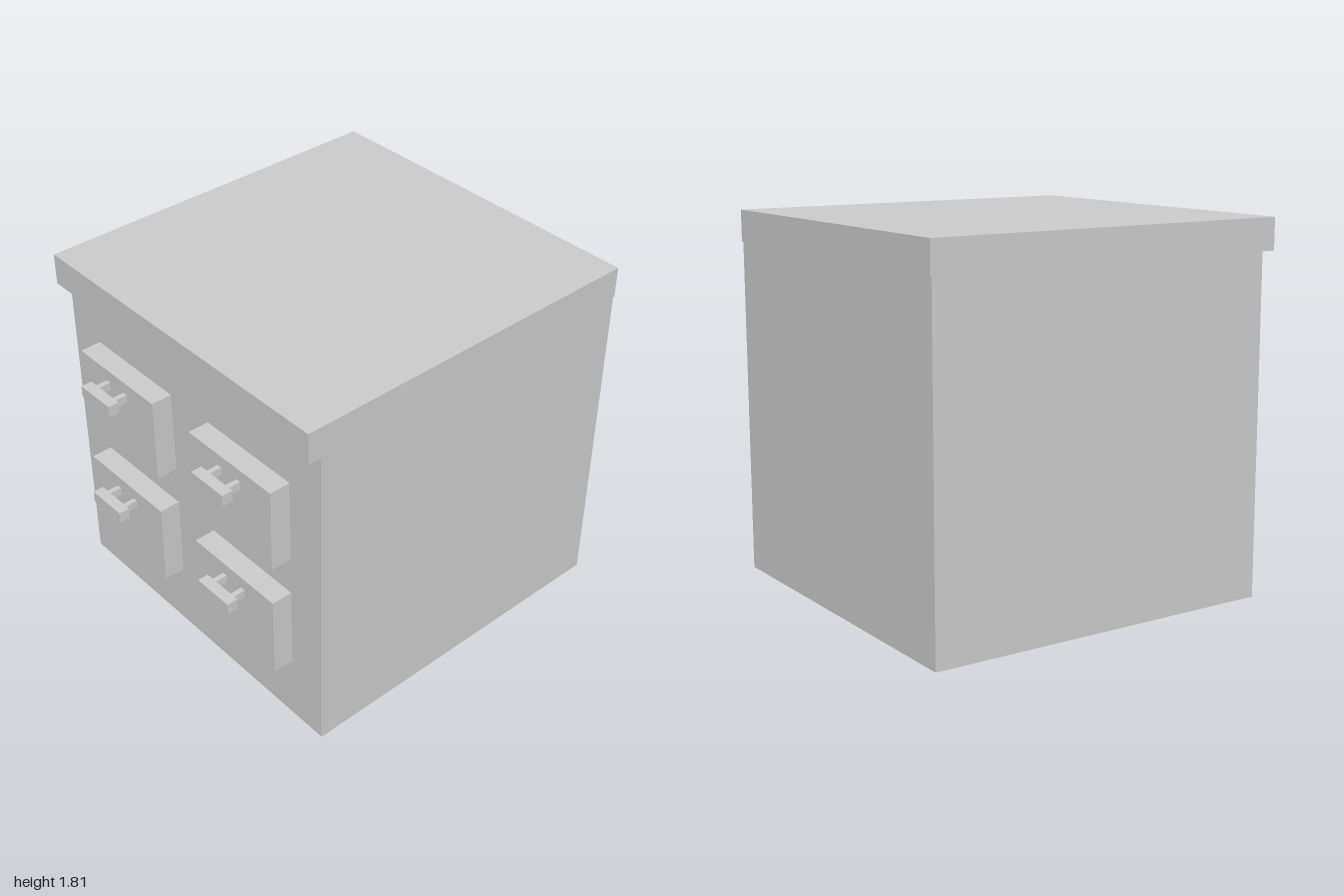
import * as THREE from 'three';

const material = new THREE.MeshStandardMaterial({ color: 0xcccccc, flatShading: true });

// Box given by its [min, max] extent on each axis
function box(name, [x0, x1], [y0, y1], [z0, z1]) {
  const mesh = new THREE.Mesh(new THREE.BoxGeometry(x1 - x0, y1 - y0, z1 - z0), material);
  mesh.name = name;
  mesh.position.set((x0 + x1) / 2, (y0 + y1) / 2, (z0 + z1) / 2);
  return mesh;
}

// Drawer front with a bar handle on two posts; origin at its bottom centre
function createDrawer() {
  const drawer = new THREE.Group();
  drawer.add(box('drawerFront', [-0.275, 0.275], [0, 0.426], [0.77, 0.88]));
  drawer.add(box('handleBar', [-0.106, 0.106], [0.315, 0.373], [0.945, 1]));
  for (const x of [-0.064, 0.064]) {
    drawer.add(box('handlePost', [x - 0.0125, x + 0.0125], [0.323, 0.365], [0.875, 0.95]));
  }
  return drawer;
}

export function createModel() {
  const cabinet = new THREE.Group();
  cabinet.name = 'drawerCabinet';

  // Carcass and the worktop overhanging the front
  cabinet.add(box('body', [-0.885, 0.885], [0, 1.652], [-0.993, 0.775]));
  cabinet.add(box('worktop', [-0.886, 0.886], [1.652, 1.807], [-1, 0.845]));

  // Two by two drawers
  for (const [row, y] of [['lower', 0.343], ['upper', 0.97]]) {
    for (const [side, x] of [['Right', -0.408], ['Left', 0.408]]) {
      const drawer = createDrawer();
      drawer.name = `${row}${side}Drawer`;
      drawer.position.set(x, y, 0);
      cabinet.add(drawer);
    }
  }
  return cabinet;
}
